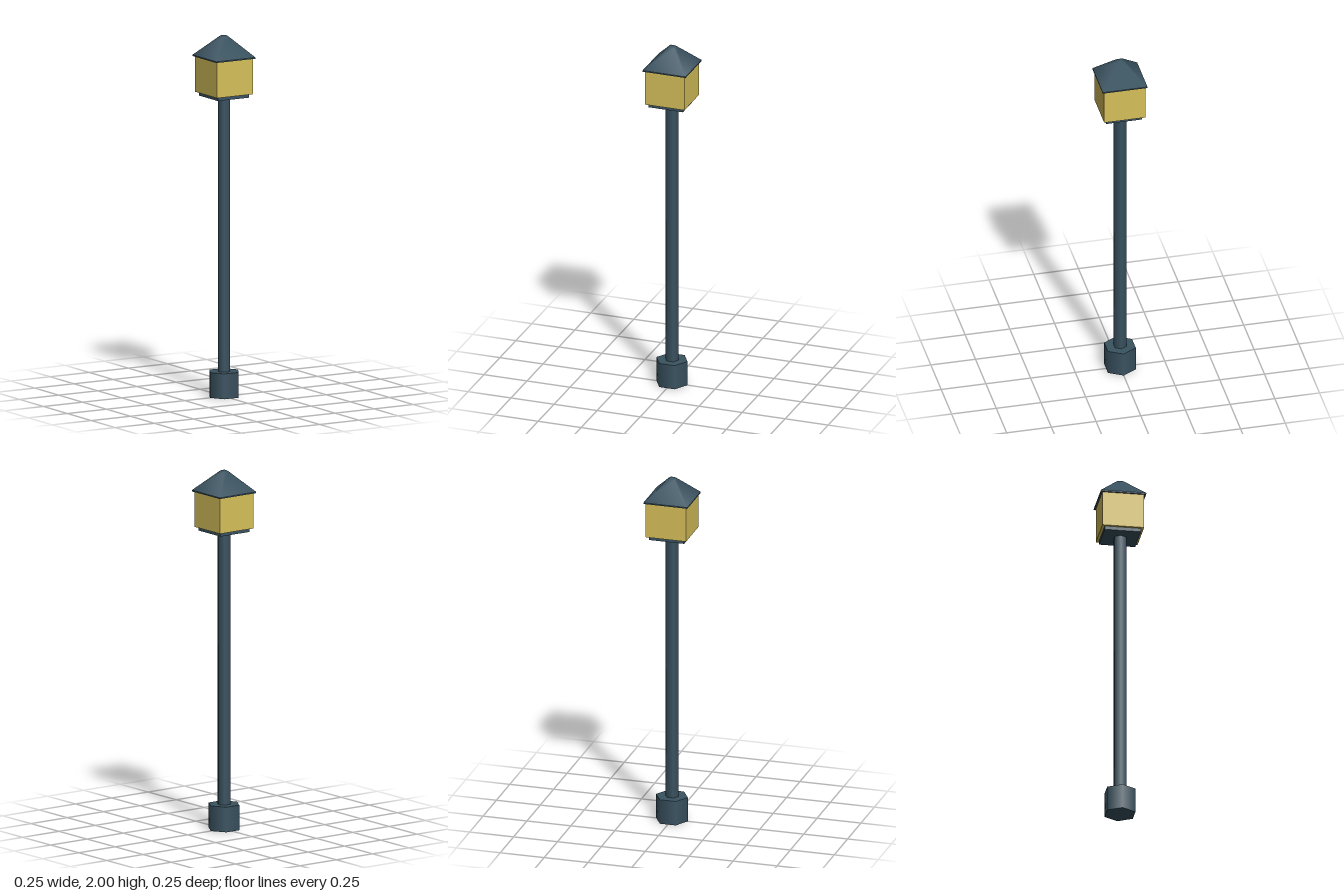
import * as THREE from 'three';

export function createModel() {
  const iron = new THREE.MeshStandardMaterial({ name: 'dark slate metal', color: 0x3a5361 });
  const glass = new THREE.MeshStandardMaterial({ name: 'warm yellow glass', color: 0xd6c05a });
  const model = new THREE.Group();
  model.name = 'lampPost';

  function add(name, geometry, material, y0, y1, turn = 0) {
    const mesh = new THREE.Mesh(geometry, material);
    mesh.name = name;
    mesh.position.y = (y0 + y1) / 2;
    mesh.rotation.y = turn;
    model.add(mesh);
  }
  // Upright prism with smooth sides, optionally tapered
  const prism = (name, rTop, rBottom, y0, y1, sides, turn) =>
    add(name, new THREE.CylinderGeometry(rTop, rBottom, y1 - y0, sides), iron, y0, y1, turn);
  const block = (name, half, y0, y1, material) =>
    add(name, new THREE.BoxGeometry(half * 2, y1 - y0, half * 2), material, y0, y1);

  // Hexagonal foot and pole, corners on the x axis
  prism('base', 0.09, 0.09, 0, 0.14, 6, Math.PI / 6);
  prism('pole', 0.037, 0.037, 0.14, 1.665, 6, Math.PI / 6);

  // Lantern: tray and glowing box
  block('lanternTray', 0.1, 1.66, 1.68, iron);
  block('lanternGlass', 0.115, 1.68, 1.878, glass);

  // Four-sided roof: thin eave, slope and blunt tip
  const diagonal = Math.SQRT2;
  block('roofEave', 0.125, 1.877, 1.884, iron);
  prism('roof', 0.018 * diagonal, 0.125 * diagonal, 1.884, 1.994, 4, Math.PI / 4);
  prism('roofTip', 0.01 * diagonal, 0.018 * diagonal, 1.994, 2, 4, Math.PI / 4);

  return model;
}
